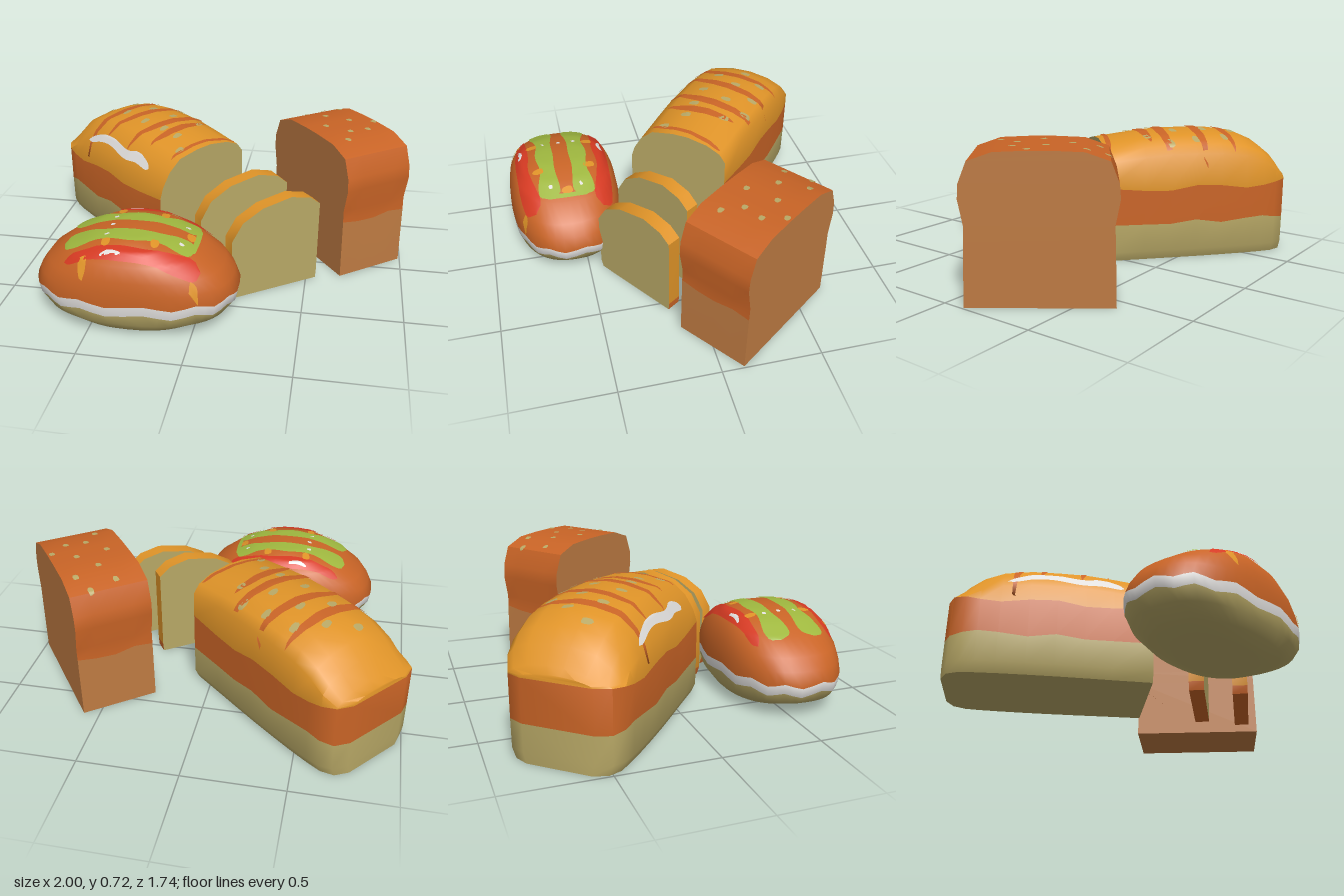
import * as THREE from 'three';
import { mergeGeometries, toCreasedNormals } from 'three/addons/utils/BufferGeometryUtils.js';

const mat = (name, color) => new THREE.MeshStandardMaterial({ name, color });

export function createModel() {
  const root = new THREE.Group();
  root.name = 'breadAssortment';
  const golden = mat('golden', 0xe09428), crust = mat('crust', 0xc96426), crumb = mat('crumb', 0xb8a866),
    brown = mat('brownCrumb', 0xbd7a42), white = mat('icing', 0xe2e0de), red = mat('sauce', 0xd63a22),
    green = mat('lettuce', 0x9fb83f);

  // Mesh from index lists kept per material
  function banded(name, positions, lists, crease) {
    const geo = new THREE.BufferGeometry();
    geo.setAttribute('position', new THREE.Float32BufferAttribute(positions, 3));
    const index = [];
    for (const [i, list] of [...lists.values()].entries()) {
      geo.addGroup(index.length, list.length, i);
      for (const v of list) index.push(v);
    }
    geo.setIndex(index);
    const mesh = new THREE.Mesh(toCreasedNormals(geo, crease), [...lists.keys()]);
    mesh.name = name;
    root.add(mesh);
    return mesh;
  }

  const collector = () => {
    const lists = new Map();
    const add = (m, ...ids) => {
      if (!lists.has(m)) lists.set(m, []);
      lists.get(m).push(...ids);
    };
    return { lists, add };
  };

  // Loft of sections along z; each section has a right and a left half, listed bottom to top
  function loft(name, rings, mats, bottom, backCap, frontCap, crease = 0.75) {
    const n = mats.length, m = 2 * n, pos = [];
    const { lists, add } = collector();
    for (const { z, R, L } of rings) for (const [x, y] of [...R, ...[...L].reverse()]) pos.push(x, y, z);
    for (let r = 0; r < rings.length - 1; r++) for (let j = 0; j < m; j++) {
      const a = r * m + j, b = r * m + (j + 1) % m, c = a + m, d = b + m;
      add(j === m - 1 ? bottom : mats[j < n ? j : m - 2 - j], a, b, c, b, d, c);
    }
    const f = (rings.length - 1) * m;
    for (let k = 0; k < n - 1; k++) {
      const l = m - 1 - k;
      add(frontCap ?? mats[k], f + l, f + k, f + k + 1, f + l, f + k + 1, f + l - 1);
      add(backCap ?? mats[k], l, k + 1, k, l, l - 1, k + 1);
    }
    return banded(name, pos, lists, crease);
  }

  // Cut golden loaf with a rounded far end
  const loafRing = ([a, w, k]) => {
    const low = 0.2 + 0.012 * Math.sin(a * 17), mid = 0.385 + 0.015 * Math.sin(a * 13 + 1);
    const top = (y, i) => Math.max(y * k, mid + 0.008 * i);
    const half = (s, arch) => [[0.26, 0], [0.283, 0.05], [0.285, low], [0.285, mid],
      ...arch.map(([x, y], i) => [x, top(y, i + 1)])].map(([x, y]) => [s * x * w, y]);
    return {
      z: -a,
      R: half(1, [[0.284, 0.53], [0.25, 0.575], [0.175, 0.608], [0.06, 0.625]]),
      L: half(-1, [[0.265, 0.46], [0.22, 0.535], [0.15, 0.595], [0.03, 0.62]]),
    };
  };
  const loaf = loft('goldenLoaf',
    [[1.02, 0.6, 0.66], [0.99, 0.86, 0.74], [0.93, 0.98, 0.86], [0.86, 1.01, 0.95], [0.76, 1.03, 1.02],
      [0.62, 1.04, 1.055], [0.48, 1.04, 1.06], [0.34, 1.03, 1.06], [0.2, 1.015, 1.04], [0, 1, 1]].map(loafRing),
    [crumb, crumb, crust, golden, golden, golden, golden, golden], crumb, null, crumb, 0.9);
  loaf.position.set(-0.095, 0, -0.043);
  loaf.rotation.y = 0.86;

  // Two slices cut from it
  const sliceR = [[0.245, 0], [0.248, 0.04], [0.248, 0.44], [0.19, 0.485], [0.08, 0.51]];
  const sliceL = [[-0.235, 0], [-0.248, 0.04], [-0.248, 0.33], [-0.19, 0.42], [-0.08, 0.48]];
  [[0.143, 0.125, 1.09], [0.325, 0.262, 1]].forEach(([x, z, s], i) => {
    const slice = loft('slice' + (i + 1), [-0.038, 0.038].map(d => ({ z: d, R: sliceR, L: sliceL })),
      [crust, golden, golden, golden, golden], crust, crumb, crumb);
    slice.position.set(x, 0, z);
    slice.rotation.y = 0.6;
    slice.scale.y = s;
  });

  // Square brown loaf with overhanging top
  const loafHalf = (s, dy) => [[0.342, 0], [0.335, 0.31 + dy], [0.332, 0.38], [0.355, 0.5], [0.35, 0.57],
    [0.312, 0.668], [0.2, 0.708], [0.06, 0.714]].map(([x, y]) => [s * x, y]);
  const brownLoaf = loft('brownLoaf',
    [-0.195, -0.1, 0, 0.1, 0.195].map((z, i) => ({ z, R: loafHalf(1, 0.012 * Math.sin(i * 2)), L: loafHalf(-1, 0.01 * Math.cos(i * 2)) })),
    [brown, crust, crust, crust, crust, crust, crust, crust], brown, brown, brown);
  brownLoaf.position.set(0.63, 0, -0.268);
  brownLoaf.rotation.y = Math.PI - Math.atan2(0.8, 0.6);

  // Oval filled bun: rows of height, x radius, z radius and colour
  const rows = [[0, 0, 0, crumb], [0.002, 0.3, 0.55, crumb], [0.03, 0.66, 0.83, crumb], [0.08, 0.9, 0.95, crumb],
    [0.135, 0.98, 0.99, white], [0.185, 1, 1, crust], [0.25, 0.95, 0.99, crust], [0.31, 0.86, 0.96, crust],
    [0.38, 0.66, 0.88, crust], [0.43, 0.42, 0.74, crust], [0.453, 0.2, 0.42, crust], [0.46, 0, 0]];
  const segs = 48, pos = [], bunParts = collector();
  const power = v => Math.sign(v) * Math.abs(v) ** (2 / 2.4);
  for (let i = 0; i < segs; i++) rows.forEach(([y, rx, rz], j) => {
    const t = i / segs * Math.PI * 2, wave = j === 4 || j === 5 ? 0.011 * Math.sin(t * 12) : 0;
    pos.push(power(Math.sin(t)) * rx * 0.5, y + wave, power(Math.cos(t)) * rz * 0.3);
    if (j === rows.length - 1) return;
    const a = i * rows.length + j, b = (i + 1) % segs * rows.length + j;
    if (j > 0) bunParts.add(rows[j][3], a, b, a + 1);
    if (j < rows.length - 2) bunParts.add(rows[j][3], b, b + 1, a + 1);
  });
  const bun = banded('filledBun', pos, bunParts.lists, 0.9);
  bun.position.set(-0.3, 0, 0.568);
  root.updateMatrixWorld(true);

  // Thin ribbon laid onto a surface from above; points are x, z, half width
  const ray = new THREE.Raycaster(), down = new THREE.Vector3(0, -1, 0);
  function ribbon(target, pts, cap = 0.1, N = 28, M = 6) {
    const curve = new THREE.CatmullRomCurve3(pts.map(([x, z, w]) => new THREE.Vector3(x, w, z)));
    const p = [], index = [];
    let last = new THREE.Vector3();
    for (let i = 0; i <= N; i++) {
      const t = i / N, c = curve.getPoint(t), d = curve.getTangent(t), len = Math.hypot(d.x, d.z);
      const e = Math.min(1, Math.min(t, 1 - t) / cap), w = c.y * Math.sqrt(1 - (1 - e) ** 2) + 0.0003;
      for (let j = 0; j <= M; j++) {
        const s = (j / M * 2 - 1) * w;
        ray.set(new THREE.Vector3(c.x - d.z / len * s, 2, c.z + d.x / len * s), down);
        const hit = ray.intersectObject(target, false)[0];
        if (hit) last = hit.point.clone().addScaledVector(hit.face.normal.clone().transformDirection(target.matrixWorld), 0.005);
        p.push(last.x, last.y, last.z);
        if (i < N && j < M) {
          const a = i * (M + 1) + j, b = a + M + 1;
          index.push(a, a + 1, b, a + 1, b + 1, b);
        }
      }
    }
    const geo = new THREE.BufferGeometry();
    geo.setAttribute('position', new THREE.Float32BufferAttribute(p, 3));
    geo.setIndex(index);
    geo.computeVertexNormals();
    return geo;
  }
  function paint(name, material, geos) {
    const mesh = new THREE.Mesh(mergeGeometries(geos), material);
    mesh.name = name;
    root.add(mesh);
  }
  const dots = (target, list, dx, dz, w) => list.map(([x, z]) =>
    ribbon(target, [[x - dx, z - dz, w], [x + dx, z + dz, w]], 0.5, 8, 4));

  // Slashes, seeds and icing on the golden loaf
  paint('loafSlashes', crust, [
    [[-0.83, -0.27], [-0.62, -0.47], [-0.43, -0.71]], [[-0.68, -0.24], [-0.47, -0.42], [-0.27, -0.64]],
    [[-0.53, -0.1], [-0.33, -0.28], [-0.12, -0.52]], [[-0.38, -0.06], [-0.27, -0.2], [-0.14, -0.37]],
    [[-0.24, 0.06], [-0.1, -0.1], [0.05, -0.24]],
  ].map(([a, b, c], i) => ribbon(loaf, [[...a, 0.012], [...b, i < 4 ? 0.027 : 0.012], [...c, 0.014]], 0.25)));
  paint('loafSeeds', crumb, dots(loaf, [[-0.74, -0.53], [-0.6, -0.58], [-0.46, -0.62], [-0.32, -0.53], [-0.2, -0.45],
    [-0.61, -0.42], [-0.47, -0.48], [-0.33, -0.38], [-0.17, -0.32], [-0.47, -0.29], [-0.34, -0.2], [-0.25, -0.13], [-0.21, 0]],
  -0.014, 0.024, 0.018));
  paint('loafIcing', white, [ribbon(loaf, [[-0.368, 0.045, 0.01], [-0.45, -0.035, 0.015], [-0.525, -0.085, 0.013],
    [-0.665, -0.222, 0.012], [-0.82, -0.33, 0.01]])]);

  // Seeds on the brown loaf
  paint('brownLoafSeeds', crumb, dots(brownLoaf, [[0.52, -0.56], [0.61, -0.51], [0.43, -0.45], [0.54, -0.38], [0.67, -0.33],
    [0.8, -0.33], [0.55, -0.22], [0.68, -0.17], [0.77, -0.22], [0.67, -0.06]], 0.012, 0.012, 0.014));

  // Bun filling, mirrored about the bun's long axis
  const mid = 0.568, both = pts => [1, -1].map(s => ribbon(bun, pts.map(([x, z, w]) => [x, mid + s * z, w])));
  paint('sauce', red, both([[-0.6, 0.2, 0.018], [-0.48, 0.205, 0.025], [-0.34, 0.21, 0.035], [-0.2, 0.215, 0.03],
    [-0.08, 0.2, 0.04], [0.04, 0.175, 0.045]]));
  paint('lettuce', green, [...both([[-0.63, 0.09, 0.055], [-0.56, 0.09, 0.062], [-0.42, 0.085, 0.04], [-0.3, 0.09, 0.048],
    [-0.18, 0.085, 0.038], [-0.07, 0.09, 0.055], [0, 0.09, 0.055]]),
  ribbon(bun, [[-0.01, 0.46, 0.012], [-0.005, 0.57, 0.012], [-0.01, 0.68, 0.012]])]);
  paint('mustardSpots', golden, dots(bun, [[-0.41, 0.415], [-0.41, 0.72], [-0.19, 0.43], [-0.18, 0.705], [-0.035, 0.568], [-0.5, 0.81], [0.02, 0.82]],
    0.004, 0.03, 0.02));
  paint('whiteSpecks', white, [...dots(bun, [[-0.42, 0.485], [-0.42, 0.655], [-0.415, 0.568], [-0.065, 0.49], [-0.065, 0.65]],
    0.012, 0, 0.01), ...both([[-0.42, 0.222, 0.005], [-0.37, 0.215, 0.009], [-0.32, 0.225, 0.005]])]);

  return root;
}
